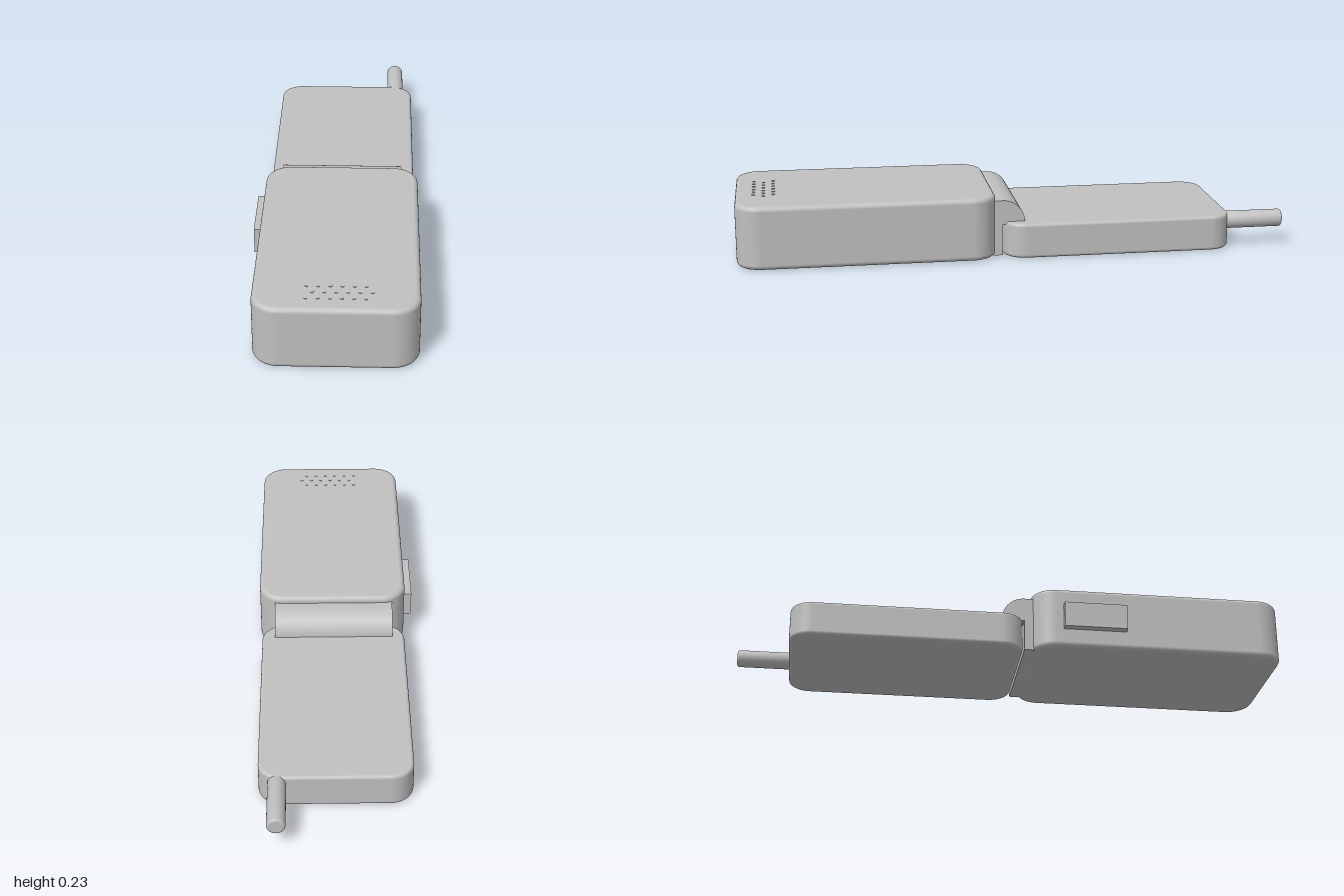
import * as THREE from 'three';

const clamp = THREE.MathUtils.clamp;

// Slab with rounded plan corners (R), rounded rims (r) and smooth normals
function slab(x0, x1, y0, y1, z0, z1, R, r) {
  const a = (x1 - x0) / 2, b = (z1 - z0) / 2, h = (y1 - y0) / 2;
  const s = new THREE.Shape();
  s.moveTo(R - a, -b);
  s.absarc(a - R, R - b, R, -Math.PI / 2, 0);
  s.absarc(a - R, b - R, R, 0, Math.PI / 2);
  s.absarc(R - a, b - R, R, Math.PI / 2, Math.PI);
  s.absarc(R - a, R - b, R, Math.PI, Math.PI * 1.5);
  const g = new THREE.ExtrudeGeometry(s, {
    depth: 2 * (h - r), bevelEnabled: true, bevelThickness: r, bevelSize: r,
    bevelOffset: -r, bevelSegments: 5, curveSegments: 10,
  });
  g.translate(0, 0, r - h).rotateX(-Math.PI / 2);
  const p = g.attributes.position, n = g.attributes.normal;
  for (let i = 0; i < p.count; i++) {
    const x = p.getX(i), y = p.getY(i), z = p.getZ(i);
    const ny = clamp((y - clamp(y, r - h, h - r)) / r, -1, 1);
    const dx = x - clamp(x, R - a, a - R), dz = z - clamp(z, R - b, b - R);
    const k = Math.sqrt(1 - ny * ny) / (Math.hypot(dx, dz) || 1);
    n.setXYZ(i, dx * k, ny, dz * k);
  }
  return g.translate((x0 + x1) / 2, (y0 + y1) / 2, (z0 + z1) / 2);
}

export function createModel() {
  const group = new THREE.Group();
  const grey = new THREE.MeshStandardMaterial({ color: 0xc0c0c0 });
  grey.name = 'light grey';
  const add = (name, geometry, parent = group) => {
    const mesh = new THREE.Mesh(geometry, grey);
    mesh.name = name;
    parent.add(mesh);
    return mesh;
  };

  // Thick front half and thin rear half, laid open
  add('thickHalf', slab(-0.262, 0.288, 0.002, 0.233, 0.07, 1, 0.09, 0.018));
  add('thinHalf', slab(-0.254, 0.277, 0.002, 0.13, -0.8, 0.042, 0.08, 0.012));

  // Hinge: quarter-round barrel over a narrow web between the halves
  const profile = new THREE.Shape();
  profile.moveTo(-0.08, 0.004);
  profile.lineTo(-0.046, 0.004);
  profile.lineTo(-0.046, 0.12);
  profile.lineTo(0.036, 0.12);
  profile.absellipse(-0.046, 0.125, 0.082, 0.084, 0, Math.PI / 2, false, 0);
  profile.lineTo(-0.08, 0.209);
  profile.closePath();
  const hinge = new THREE.ExtrudeGeometry(profile, {
    depth: 0.44, bevelEnabled: false, curveSegments: 16,
  });
  // Smooth normals along the barrel only
  const p = hinge.attributes.position, n = hinge.attributes.normal;
  for (let i = 0; i < p.count; i++) {
    const x = p.getX(i) + 0.046, y = p.getY(i) - 0.125;
    if (Math.abs(n.getZ(i)) < 0.5 && n.getX(i) > 0.01 && n.getY(i) > 0.01) {
      const l = Math.hypot(x, y);
      n.setXYZ(i, x / l, y / l, 0);
    }
  }
  add('hinge', hinge.rotateY(Math.PI / 2).translate(-0.21, 0, 0));

  // Side button
  add('sideButton', new THREE.BoxGeometry(0.034, 0.095, 0.23).translate(-0.274, 0.118, 0.298));

  // Antenna with softly rounded tip
  const pts = [[0, 0], [0.032, 0], [0.032, 0.202]];
  for (let i = 1; i <= 4; i++) {
    const t = (i / 4) * Math.PI / 2;
    pts.push([0.024 + 0.008 * Math.cos(t), 0.202 + 0.008 * Math.sin(t)]);
  }
  pts.push([0.0235, 0.21], [0, 0.21]);
  const antenna = new THREE.LatheGeometry(pts.map(([x, y]) => new THREE.Vector2(x, y)), 28);
  add('antenna', antenna.rotateX(-Math.PI / 2).translate(0.212, 0.099, -0.79));

  // Speaker dots in staggered rows
  const speaker = new THREE.Group();
  speaker.name = 'speakerDots';
  group.add(speaker);
  const dot = new THREE.CylinderGeometry(0.006, 0.006, 0.006, 10);
  for (let row = 0; row < 3; row++) {
    for (let i = 0; i < 6; i++) {
      add('speakerDot', dot, speaker)
        .position.set(-0.084 + i * 0.039 + (row % 2) * 0.0195, 0.232, 0.863 + row * 0.035);
    }
  }
  return group;
}
